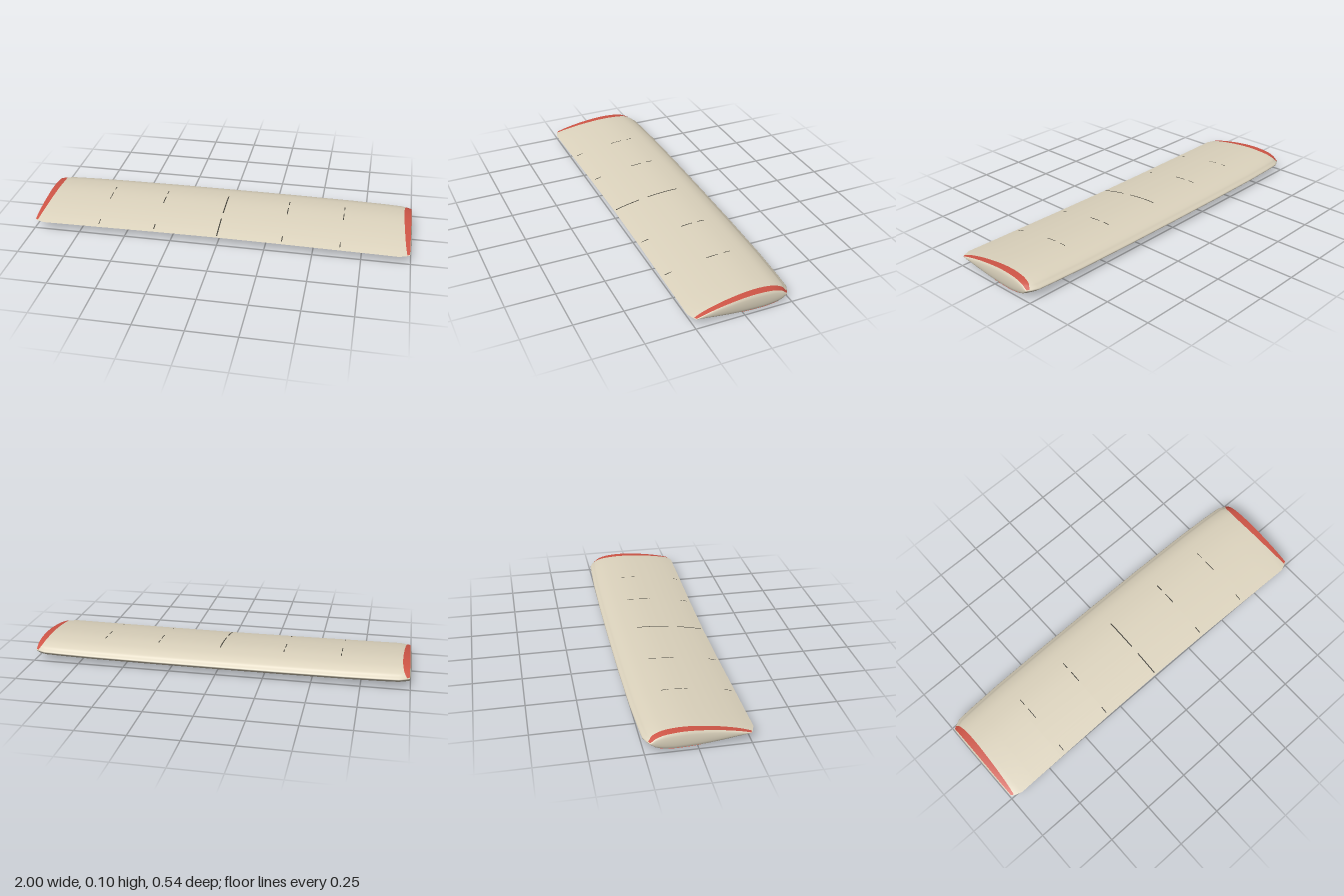
import * as THREE from 'three';
import { RoundedBoxGeometry } from 'three/addons/geometries/RoundedBoxGeometry.js';

const MID = 0.05; // height of the chord line
const END = 0.993; // span where the tip caps begin

// Wing section as [fraction of chord from leading edge, height]:
// trailing edge -> over the top -> leading edge -> underside -> trailing edge
const section = new THREE.SplineCurve([
  [1, 0.05], [0.88, 0.066], [0.7, 0.083], [0.5, 0.095], [0.35, 0.0985],
  [0.22, 0.095], [0.13, 0.088], [0.06, 0.075], [0.03, 0.0635], [0, 0.05],
  [0.03, 0.0375], [0.06, 0.027], [0.13, 0.018], [0.22, 0.013], [0.3, 0.012],
  [0.5, 0.017], [0.7, 0.028], [0.88, 0.041], [1, 0.05],
].map(([t, y]) => new THREE.Vector2(t, y)));

// Planform stations: [x, leading z, trailing z, thickness]
const stations = [
  [0, -0.27, 0.255, 1], [0.34, -0.269, 0.258, 1], [0.67, -0.264, 0.264, 1],
  [0.85, -0.256, 0.267, 1], [0.94, -0.25, 0.269, 0.99],
  [0.975, -0.235, 0.257, 0.97], [END, -0.224, 0.247, 0.95],
];

function stationAt(x) {
  const a = Math.min(Math.abs(x), END);
  let k = 1;
  while (k < stations.length - 1 && stations[k][0] < a) k++;
  const p = stations[k - 1], q = stations[k];
  const f = (a - p[0]) / (q[0] - p[0]);
  return p.map((v, i) => v + (q[i] - v) * f);
}

// Point on the wing skin; s is the section control point index, 0 to 18
function skin(x, s, lift = 0) {
  const [, lead, trail, thick] = stationAt(x);
  const p = section.getPoint(s / 18);
  const y = MID + (p.y - MID) * thick + (s < 9 ? lift : -lift);
  return [x, y, lead + (trail - lead) * p.x];
}

// Smooth grid surface from a rule
function grid(nu, nv, rule, flip = false) {
  const pos = [], index = [];
  for (let i = 0; i <= nu; i++)
    for (let j = 0; j <= nv; j++) pos.push(...rule(i / nu, j / nv, i));
  for (let i = 0; i < nu; i++)
    for (let j = 0; j < nv; j++) {
      const a = i * (nv + 1) + j, b = a + 1, c = a + nv + 1, d = c + 1;
      if (flip) index.push(a, b, c, b, d, c);
      else index.push(a, c, b, b, c, d);
    }
  const g = new THREE.BufferGeometry();
  g.setAttribute('position', new THREE.Float32BufferAttribute(pos, 3));
  g.setIndex(index);
  g.computeVertexNormals();
  return g;
}

function material(name, color) {
  const m = new THREE.MeshStandardMaterial({ color });
  m.name = name;
  return m;
}

export function createModel() {
  const model = new THREE.Group();
  model.name = 'wing';
  const cream = material('cream', 0xddd4be);
  const red = material('red', 0xcf5546);
  const slate = material('slate blue', 0x2c4a5a);
  const dark = material('dark seam', 0x45433b);
  red.side = dark.side = THREE.DoubleSide;

  const add = (name, geometry, mat) => {
    const mesh = new THREE.Mesh(geometry, mat);
    mesh.name = name;
    model.add(mesh);
    return mesh;
  };

  // Lofted wing panel
  const xs = [...stations.slice(1).reverse().map(s => -s[0]), ...stations.map(s => s[0])];
  add('wingSkin', grid(xs.length - 1, 72, (u, v, i) => skin(xs[i], v * 18)), cream);

  for (const side of [-1, 1]) {
    const label = side > 0 ? 'left' : 'right';

    // Slightly domed wing tip, spanning top to underside
    add(label + 'TipCap', grid(36, 10, (u, v) => {
      const top = skin(side * END, u * 9), low = skin(side * END, 18 - u * 9);
      const bulge = 0.007 * Math.sqrt(Math.max(0, Math.sin(Math.PI * v) * Math.sin(Math.PI * u)));
      return [
        side * (END + bulge),
        top[1] + (low[1] - top[1]) * v,
        top[2] + (low[2] - top[2]) * v,
      ];
    }, side > 0), cream);

    // Red tip bands, full on top and a sliver below
    const band = (name, s0, s1, inner, bow) =>
      add(label + name, grid(4, 40, (u, v) => {
        const x0 = inner - bow * Math.sin(Math.PI * v);
        return skin(side * (x0 + (END - x0) * u), s0 + (s1 - s0) * v, 0.0015);
      }, side < 0), red);
    band('TipBandTop', 0.1, 8.7, 0.98, 0.024);
    band('TipBandBottom', 11.6, 15, 0.988, 0.013);

    // Mounting skid under the wing
    add(label + 'Skid', new RoundedBoxGeometry(0.046, 0.028, 0.29, 3, 0.007), slate)
      .position.set(side * 0.34, 0.014, -0.025);
  }

  // Broken rib seams along the top: [x, width, [section ranges]]
  const short = [[3.85, 4.35], [2.75, 3.45], [0.4, 0.9]];
  const seams = [[0, 0.006, [[2.35, 4.35], [0.25, 1.88]]]];
  for (const side of [-1, 1])
    seams.push([side * 0.34, 0.005, short], [side * 0.64, 0.004, short]);
  for (const [x, width, ranges] of seams)
    for (const [s0, s1] of ranges)
      add('ribSeam', grid(1, 10, (u, v) =>
        skin(x + (u - 0.5) * width, s0 + (s1 - s0) * v, 0.001)), dark);

  return model;
}
